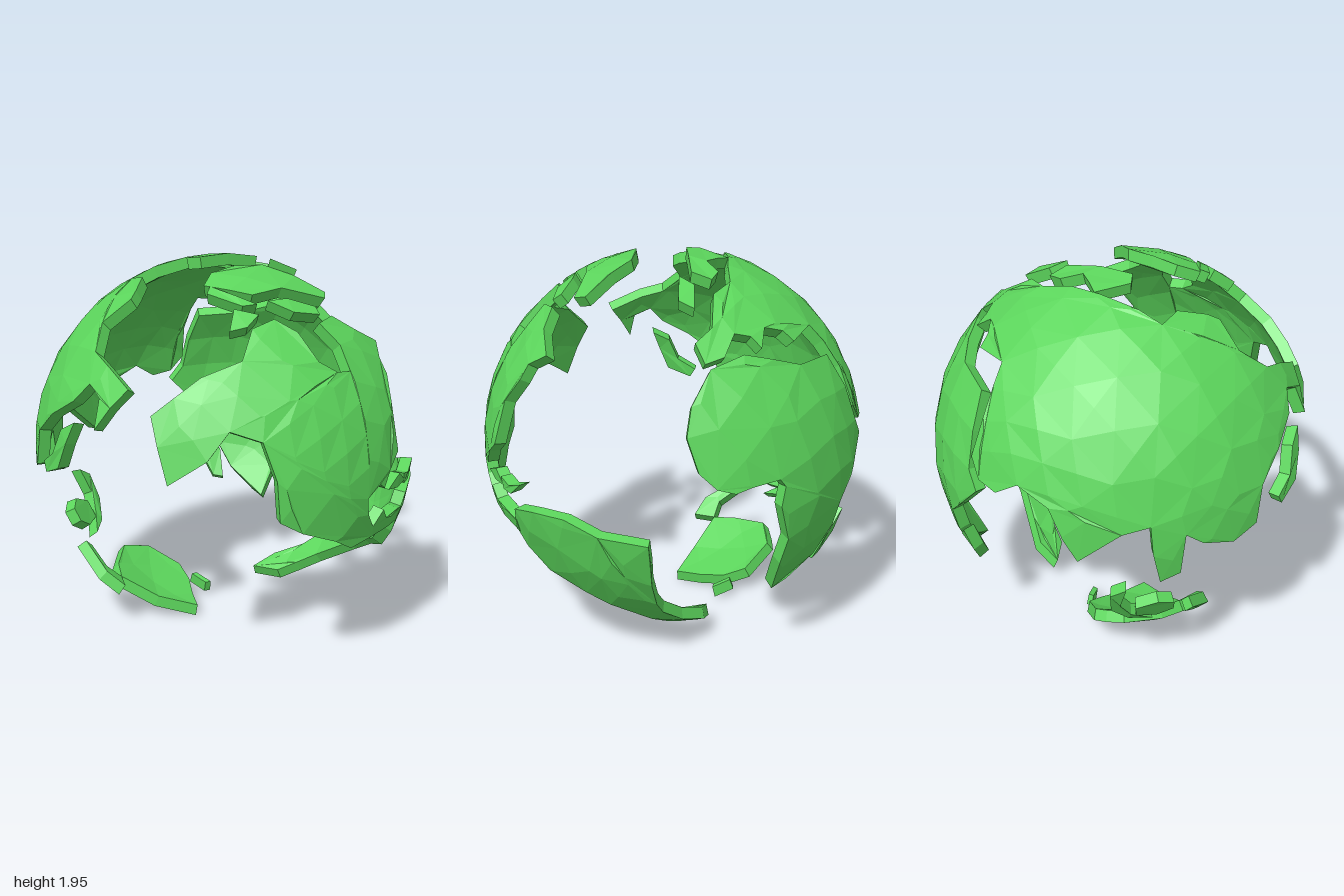
import * as THREE from 'three';

const R = 0.985, INNER = 0.925, CY = 0.985, MAX_EDGE = 0.3;
const land = new THREE.MeshStandardMaterial({ color: 0x5cd65c, flatShading: true });

// Coast points lifted from a flat plane onto the unit sphere
const rest = (a, b) => Math.sqrt(Math.max(0, 1 - a * a - b * b));
const lift = (fn) => (...pts) => pts.map(([a, b]) => fn(a, b).normalize());
const front = lift((x, y) => {
  x /= R; y = (y - CY) / R;
  return new THREE.Vector3(x, y, rest(x, y));
});
const back = lift((x, y) => {
  x /= R; y = (y - CY) / R;
  return new THREE.Vector3(x, y, -rest(x, y));
});
const side = lift((z, y) => {
  z /= R; y = (y - CY) / R;
  return new THREE.Vector3(rest(z, y), y, z);
});
const top = lift((x, z) => {
  x /= R; z /= R;
  return new THREE.Vector3(x, rest(x, z), z);
});
// Oblique plane facing the far corner (-x, +y, -z)
const oblique = lift((r, u) => {
  const d = rest(r, u), h = d * 0.866 - u * 0.5;
  return new THREE.Vector3(-(h + r) * Math.SQRT1_2, d * 0.5 + u * 0.866, (r - h) * Math.SQRT1_2);
});

// A coast outline becomes a thick faceted piece of shell
function shell(name, coast) {
  const mid = coast.reduce((s, p) => s.add(p), new THREE.Vector3()).normalize();
  const q = new THREE.Quaternion().setFromUnitVectors(new THREE.Vector3(0, 0, 1), mid);
  const qi = q.clone().invert();

  // Flatten around the middle, keeping distances from it
  const flat = coast.map((p) => {
    const v = p.clone().applyQuaternion(qi);
    const t = Math.acos(THREE.MathUtils.clamp(v.z, -1, 1));
    return new THREE.Vector2(v.x, v.y).normalize().multiplyScalar(t);
  });
  const raise = (p, r) => {
    const t = p.length(), s = t > 1e-6 ? Math.sin(t) / t : 1;
    return new THREE.Vector3(p.x * s, p.y * s, Math.cos(t)).applyQuaternion(q).multiplyScalar(r);
  };

  // Halve long edges until the facets follow the sphere
  const tris = [];
  const split = (a, b, c) => {
    const ab = a.distanceTo(b), bc = b.distanceTo(c), ca = c.distanceTo(a);
    const m = Math.max(ab, bc, ca);
    if (m < MAX_EDGE) { tris.push([a, b, c]); return; }
    if (bc === m) [a, b, c] = [b, c, a];
    else if (ca === m) [a, b, c] = [c, a, b];
    const h = a.clone().add(b).multiplyScalar(0.5);
    split(a, h, c);
    split(h, b, c);
  };
  for (const [i, j, k] of THREE.ShapeUtils.triangulateShape(flat, [])) {
    const [a, b, c] = [flat[i], flat[j], flat[k]];
    const area = (b.x - a.x) * (c.y - a.y) - (b.y - a.y) * (c.x - a.x);
    if (area > 0) split(a, b, c); else split(a, c, b);
  }

  // Outer skin, inner skin, and a wall along every open edge
  const pos = [], edges = new Map();
  const face = (...vs) => vs.forEach((v) => pos.push(v.x, v.y, v.z));
  const key = (p) => p.x.toFixed(5) + ',' + p.y.toFixed(5);
  for (const t of tris) {
    const o = t.map((p) => raise(p, R)), n = t.map((p) => raise(p, INNER));
    face(o[0], o[1], o[2]);
    face(n[0], n[2], n[1]);
    t.forEach((p, i) => edges.set(key(p) + '|' + key(t[(i + 1) % 3]), [p, t[(i + 1) % 3]]));
  }
  for (const [k, [a, b]] of edges) {
    if (edges.has(k.split('|').reverse().join('|'))) continue;
    const ao = raise(a, R), bo = raise(b, R), ai = raise(a, INNER), bi = raise(b, INNER);
    face(ao, ai, bi);
    face(ao, bi, bo);
  }
  const g = new THREE.BufferGeometry();
  g.setAttribute('position', new THREE.Float32BufferAttribute(pos, 3));
  g.computeVertexNormals();
  const mesh = new THREE.Mesh(g, land);
  mesh.name = name;
  mesh.position.y = CY;
  return mesh;
}

export function createModel() {
  const globe = new THREE.Group();
  globe.name = 'globe';
  const add = (name, ...coast) => globe.add(shell(name, coast.flat()));

  // Large continents
  add('northAmerica',
    front([0.27, 0.68], [0.1, 0.7], [-0.05, 0.7], [-0.2, 0.68], [-0.32, 0.75], [-0.5, 0.83], [-0.6, 0.9],
      [-0.61, 1.1], [-0.63, 1.28], [-0.72, 1.33], [-0.81, 1.2], [-0.91, 1.08], [-0.9, 1.25], [-0.87, 1.38]),
    top([-0.8, 0.32], [-0.7, 0.4], [-0.55, 0.52], [-0.42, 0.48], [-0.3, 0.52], [-0.25, 0.62], [-0.25, 0.74],
      [-0.18, 0.8], [-0.1, 0.82], [-0.07, 0.74], [-0.1, 0.64], [0.02, 0.63], [0.12, 0.7], [0.28, 0.73], [0.2, 0.8]),
    front([0.2, 1.45], [0.14, 1.33], [0.12, 1.1], [0.03, 1.03], [-0.02, 0.95], [-0.06, 0.98], [-0.15, 0.93],
      [-0.13, 0.84], [-0.07, 0.76], [0, 0.83], [0.05, 0.77], [0.2, 0.77], [0.28, 0.75]));

  add('southAmerica',
    front([0.25, 0.7], [0.3, 0.82], [0.45, 0.86], [0.62, 0.88], [0.74, 0.82]),
    side([0.42, 0.8], [0.4, 0.68], [0.38, 0.55], [0.33, 0.4], [0.28, 0.32], [0.15, 0.21], [0, 0.14], [-0.07, 0.08]),
    front([0.4, 0.09], [0.47, 0.14], [0.52, 0.2], [0.53, 0.33], [0.49, 0.4], [0.35, 0.48], [0.28, 0.6]));

  add('africa',
    side([0.08, 1.6], [0.2, 1.46], [0.24, 1.33], [0.2, 1.17], [0.12, 1.09], [0.03, 1.06], [-0.05, 1.08],
      [-0.2, 1.09], [-0.23, 1.05], [-0.21, 0.95], [-0.27, 0.75], [-0.25, 0.6], [-0.27, 0.39], [-0.35, 0.43],
      [-0.5, 0.54], [-0.6, 0.68], [-0.63, 0.82], [-0.72, 0.92], [-0.82, 1.09], [-0.77, 1.18], [-0.71, 1.36],
      [-0.61, 1.53], [-0.4, 1.55], [-0.25, 1.6], [-0.1, 1.64]));

  add('eurasia',
    top([0.45, -0.05], [0.36, -0.17], [0.2, -0.22], [0.05, -0.28], [-0.15, -0.34], [-0.27, -0.38], [-0.32, -0.27],
      [-0.45, -0.2], [-0.51, -0.18], [-0.62, -0.27], [-0.75, -0.2], [-0.8, -0.08], [-0.85, 0.09], [-0.9, 0.02]),
    oblique([0.64, -0.1], [0.59, 0.04], [0.5, 0.06], [0.46, -0.06], [0.32, -0.2], [0.18, -0.34], [0.14, -0.52],
      [0, -0.57], [-0.17, -0.52], [-0.26, -0.45], [-0.27, -0.64], [-0.36, -0.66], [-0.41, -0.5], [-0.42, -0.36],
      [-0.54, -0.36]),
    back([0, 0.88], [0.07, 1], [0.14, 1.15], [0.3, 1.22], [0.42, 1.14], [0.52, 1.16]),
    side([-0.76, 1.25], [-0.7, 1.45], [-0.62, 1.58], [-0.55, 1.66], [-0.4, 1.64], [-0.35, 1.69], [-0.25, 1.72],
      [-0.2, 1.65], [-0.16, 1.7], [-0.08, 1.72], [0, 1.64], [0.1, 1.62], [0.12, 1.7], [0.02, 1.75]));

  add('australia',
    back([-0.42, 0.2], [-0.33, 0.22], [-0.15, 0.25], [-0.05, 0.22], [0.02, 0.2], [0.1, 0.1], [0.05, 0.05],
      [-0.15, 0.015], [-0.3, 0.08]));

  // Northern islands and peninsulas
  add('northernPeninsula',
    top([0.08, -0.27], [-0.08, -0.18], [-0.07, -0.1], [0.1, -0.05], [0.28, 0], [0.35, -0.08], [0.28, -0.14],
      [0.17, -0.12], [0.12, -0.2]));
  add('greenIsland',
    top([-0.36, 0.15], [-0.25, 0.11], [-0.12, 0.15], [0.02, 0.22], [0.08, 0.34], [0.16, 0.5], [0.1, 0.54],
      [-0.1, 0.42], [-0.27, 0.37], [-0.32, 0.27]));
  add('arcticIslandWest', top([-0.5, 0.41], [-0.4, 0.36], [-0.34, 0.46], [-0.43, 0.46]));
  add('arcticIslandNorth', top([-0.4, 0.2], [-0.35, 0.18], [-0.33, 0.32], [-0.3, 0.42], [-0.36, 0.38]));
  add('arcticIslandEast', top([-0.24, 0.44], [-0.14, 0.48], [-0.03, 0.57], [-0.05, 0.61], [-0.18, 0.55]));
  add('westernIsle', top([0.3, 0.07], [0.38, 0.02], [0.52, 0.07], [0.46, 0.13]));

  // Ocean islands
  add('eastAfricanIsland', side([-0.52, 0.48], [-0.58, 0.64], [-0.68, 0.74], [-0.65, 0.6], [-0.57, 0.49]));
  add('islandArc',
    oblique([0.52, -0.14], [0.5, -0.26], [0.46, -0.4], [0.33, -0.48], [0.3, -0.44], [0.4, -0.36], [0.44, -0.22]));
  add('equatorIsland',
    back([-0.43, 0.54], [-0.36, 0.57], [-0.25, 0.52], [-0.24, 0.43], [-0.34, 0.42], [-0.42, 0.47]));
  add('equatorStrip',
    back([-0.22, 0.69], [-0.14, 0.64], [-0.13, 0.5], [-0.2, 0.4], [-0.31, 0.37], [-0.22, 0.45], [-0.18, 0.55]));
  add('tropicalIsland',
    back([-0.5, 0.4], [-0.46, 0.36], [-0.48, 0.27], [-0.42, 0.2], [-0.5, 0.2], [-0.55, 0.28]));
  add('southIsland', back([0.1, 0.06], [0.13, 0.06], [0.13, 0.03], [0.1, 0.03]));
  add('gulfIslandWest', front([0.02, 0.93], [0.14, 0.98], [0.22, 0.92], [0.12, 0.91]));
  add('gulfIslandEast', front([0.2, 0.96], [0.28, 0.94], [0.38, 0.98], [0.29, 0.9], [0.22, 0.9]));

  return globe;
}
